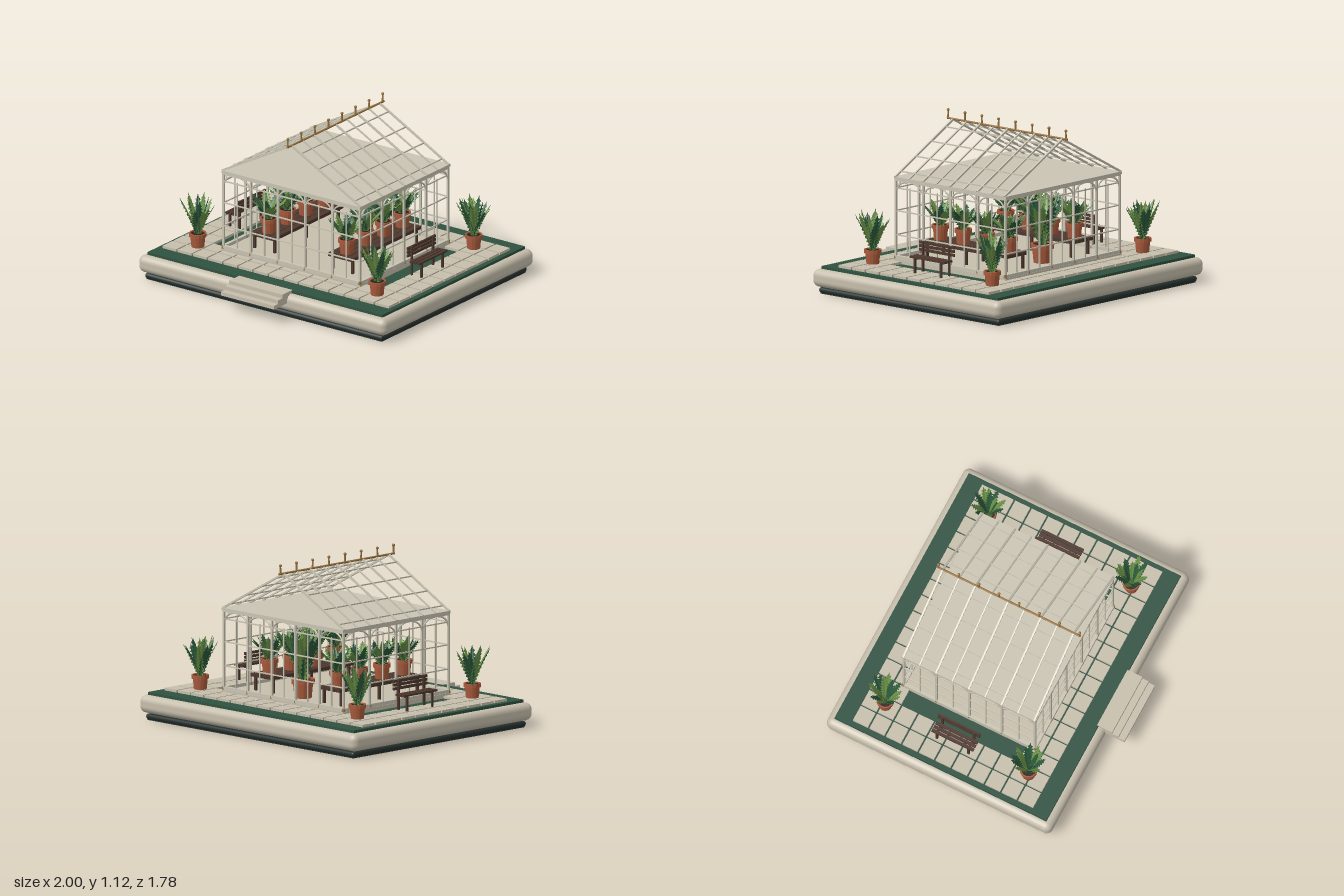
import * as THREE from 'three';
import { mergeGeometries } from 'three/addons/utils/BufferGeometryUtils.js';
import { RoundedBoxGeometry } from 'three/addons/geometries/RoundedBoxGeometry.js';

const mat = (name, color, extra = {}) => Object.assign(new THREE.MeshStandardMaterial({ color, ...extra }), { name });

export function createModel() {
  const M = {
    stone: mat('stone', 0xc6beac),
    frame: mat('painted frame', 0xc9c4b3),
    lawn: mat('lawn green', 0x2f5140),
    plinth: mat('dark plinth', 0x25302c),
    brass: mat('brass', 0x9a7440),
    clay: mat('terracotta', 0xa95a3c),
    soil: mat('soil', 0x2a211c),
    wood: mat('dark wood', 0x4d382e),
    leaf: mat('leaf green', 0x6a9147, { side: THREE.DoubleSide }),
    leafDark: mat('deep leaf green', 0x2c5a3c, { side: THREE.DoubleSide }),
  };
  const root = new THREE.Group();
  root.name = 'greenhouse';
  const CZ = -0.07; // centre of the terrace and the house in z

  const add = (name, geo, material, parent = root) => {
    const m = new THREE.Mesh(Array.isArray(geo) ? mergeGeometries(geo) : geo, material);
    m.name = name;
    parent.add(m);
    return m;
  };
  // Box given by its limits on each axis
  const box = (x0, x1, y0, y1, z0, z1) =>
    new THREE.BoxGeometry(x1 - x0, y1 - y0, z1 - z0).translate((x0 + x1) / 2, (y0 + y1) / 2, (z0 + z1) / 2);
  const V = (x, y, z) => new THREE.Vector3(x, y, z);
  // Square bar between two points
  const bar = (a, b, w) => {
    const d = b.clone().sub(a);
    const g = new THREE.BoxGeometry(w, w, d.length());
    const o = new THREE.Object3D();
    o.position.copy(a).add(b).multiplyScalar(0.5);
    o.lookAt(b);
    o.updateMatrix();
    return g.applyMatrix4(o.matrix);
  };

  // Base
  add('plinth', new RoundedBoxGeometry(1.92, 0.037, 1.58, 2, 0.017).translate(0, 0.0235, CZ), M.plinth);
  add('plinthFoot', box(-0.95, 0.95, 0, 0.02, CZ - 0.78, CZ + 0.78), M.plinth);
  add('stoneBase', new RoundedBoxGeometry(2, 0.118, 1.64, 3, 0.045).translate(0, 0.106, CZ), M.stone);
  add('lawn', box(-0.95, 0.95, 0.155, 0.183, -0.845, 0.7), M.lawn);

  // Paving ring around the house
  const tiles = [];
  const px = 1.84 / 15, pz = 1.325 / 11;
  for (let i = 0; i < 15; i++) for (let j = 0; j < 11; j++) {
    if (i > 1 && i < 13 && j > 1 && j < 9) continue;
    const x = -0.92 + i * px, z = -0.735 + j * pz;
    tiles.push(box(x + 0.006, x + px - 0.006, 0.175, 0.2, z + 0.006, z + pz - 0.006));
  }
  add('paving', tiles, M.stone);

  // Front steps
  [[0.16, 0.185, 0.69, 0.8], [0.135, 0.16, 0.72, 0.845], [0.11, 0.135, 0.74, 0.89]].forEach(([y0, y1, z0, z1]) =>
    add('step', box(-0.215, 0.215, y0, y1, z0, z1), M.stone));

  // House limits
  const X = 0.55, ZF = 0.41, ZB = -0.545, EAVE = 0.74;
  add('floor', box(-0.56, 0.56, 0.18, 0.212, ZB - 0.01, ZF + 0.01), M.stone);
  add('ceiling', box(-0.56, 0.56, 0.737, 0.754, ZB - 0.015, ZF + 0.01), M.frame);

  // Four walls: posts, mullions, rails and arched braces
  const wall = (name, a, b, bays) => {
    const geos = [], feet = [];
    const at = (t, y) => a.clone().lerp(b, t).setY(y);
    geos.push(bar(at(0, 0.224), at(1, 0.224), 0.022));
    geos.push(bar(at(0, 0.735), at(1, 0.735), 0.018));
    for (const y of [0.37, 0.53, 0.68]) geos.push(bar(at(0, y), at(1, y), 0.008));
    for (let i = 0; i <= bays; i++) {
      const p = at(i / bays, 0);
      geos.push(bar(at(i / bays, 0.2), at(i / bays, EAVE), 0.014));
      feet.push(new THREE.CylinderGeometry(0.011, 0.014, 0.022, 8).translate(p.x, 0.224, p.z));
      if (i < bays) geos.push(bar(at((i + 0.5) / bays, 0.22), at((i + 0.5) / bays, 0.69), 0.007));
      for (const s of [-1, 1]) {
        if ((i === 0 && s < 0) || (i === bays && s > 0)) continue;
        const t = (i + s * 0.4) / bays;
        const c = new THREE.QuadraticBezierCurve3(at(i / bays, 0.645), at((i + s * 0.06) / bays, 0.72), at(t, 0.728));
        geos.push(new THREE.TubeGeometry(c, 6, 0.006, 5));
      }
    }
    add(name, geos, M.frame);
    add(name + 'Feet', feet, M.brass);
  };
  wall('frontWall', V(-X, 0, ZF), V(X, 0, ZF), 5);
  wall('backWall', V(-X, 0, ZB), V(X, 0, ZB), 5);
  wall('leftWall', V(X, 0, ZF), V(X, 0, ZB), 4);
  wall('rightWall', V(-X, 0, ZF), V(-X, 0, ZB), 4);

  // Open roof grid
  const roof = [];
  for (const s of [-1, 1]) {
    for (let i = 0; i < 9; i++) {
      const z = ZF + (ZB - ZF) * i / 8;
      roof.push(bar(V(s * 0.56, 0.752, z), V(0, 1.05, z), i % 2 ? 0.009 : 0.012));
    }
    for (const t of [0.1, 0.36, 0.62, 0.87]) {
      const x = s * 0.56 * (1 - t), y = 0.752 + 0.298 * t;
      roof.push(bar(V(x, y, ZF), V(x, y, ZB), 0.008));
    }
  }
  add('roofBars', roof, M.frame);

  // Ridge with finials
  const ridge = [new THREE.CylinderGeometry(0.007, 0.007, 1.05, 8).rotateX(Math.PI / 2).translate(0, 1.052, CZ + 0.005)];
  for (let i = 0; i < 8; i++) {
    const z = 0.453 - i * 0.147;
    ridge.push(new THREE.CylinderGeometry(0.005, 0.007, 0.055, 8).translate(0, 1.078, z));
    ridge.push(new THREE.SphereGeometry(0.01, 8, 6).translate(0, 1.107, z));
  }
  add('ridge', ridge, M.brass);

  // Plant tables
  for (const s of [-1, 1]) {
    const x = s * 0.315, g = [];
    for (let i = 0; i < 4; i++) g.push(box(x - 0.098 + i * 0.05, x - 0.052 + i * 0.05, 0.305, 0.327, -0.44, 0.31));
    for (const dx of [-0.08, 0.08]) {
      for (const z of [-0.41, -0.065, 0.28]) g.push(box(x + dx - 0.008, x + dx + 0.008, 0.21, 0.306, z - 0.008, z + 0.008));
    }
    add('plantTable', g, M.wood);
  }

  // Garden benches, backs against the house
  for (const s of [-1, 1]) {
    const g = [];
    const slat = (x0, x1, y0, y1, z0, z1) => g.push(box(Math.min(s * x0, s * x1), Math.max(s * x0, s * x1), y0, y1, z0, z1));
    for (const x of [0.707, 0.735, 0.763]) slat(x, x + 0.021, 0.298, 0.311, -0.225, 0.08);
    for (const y of [0.331, 0.356, 0.38]) slat(0.68, 0.692, y, y + 0.017, -0.225, 0.08);
    for (const z of [-0.195, 0.035]) {
      slat(0.69, 0.702, 0.2, 0.395, z, z + 0.015);
      slat(0.768, 0.78, 0.2, 0.3, z, z + 0.015);
      slat(0.69, 0.78, 0.287, 0.298, z, z + 0.015);
    }
    add('bench', g, M.wood);
  }

  // Serrated frond: a midrib rising and leaning outward with toothed edges
  const frond = (h, reach, width, turn) => {
    const N = 9, pos = [], idx = [];
    for (let i = 0; i <= N; i++) {
      const t = i / N, r = 0.012 + reach * Math.pow(t, 1.25), y = h * t;
      const w = width * (0.3 + 0.7 * Math.sin(Math.PI * Math.min(1, t * 0.85 + 0.12)));
      pos.push(r, y, 0);
      for (const s of [-1, 1]) {
        pos.push(r - 0.004, y, s * w * 0.5);
        pos.push(r + reach * 0.07, y + h * 0.05, s * w * 0.95);
      }
      if (i === N) break;
      const a = i * 5, b = a + 5;
      idx.push(a, b, b + 1, a, b + 1, a + 1, a, a + 3, b + 3, a, b + 3, b);
      idx.push(a + 1, b + 1, a + 2, a + 3, a + 4, b + 3);
    }
    const tip = pos.length / 3, e = N * 5;
    pos.push(0.012 + reach * 1.08, h * 1.1, 0);
    idx.push(e, tip, e + 1, e, e + 3, tip);
    const g = new THREE.BufferGeometry();
    g.setAttribute('position', new THREE.Float32BufferAttribute(pos, 3));
    g.setIndex(idx);
    const flat = g.toNonIndexed().rotateY(turn);
    flat.computeVertexNormals();
    return flat;
  };

  // Potted plant: pot with rim, soil, and rings of fronds
  const plant = (x, y, z, r, potH, h, spread, turn) => {
    const g = new THREE.Group();
    g.name = 'pottedPlant';
    g.position.set(x, y, z);
    g.rotation.y = turn;
    root.add(g);
    const profile = [[0, 0], [0.74, 0], [0.86, 0.74], [1, 0.74], [1, 1], [0.84, 1], [0.82, 0.88]];
    add('pot', new THREE.LatheGeometry(profile.map(([a, b]) => new THREE.Vector2(a * r, b * potH)), 14).toNonIndexed(), M.clay, g)
      .geometry.computeVertexNormals();
    add('soil', new THREE.CylinderGeometry(r * 0.84, r * 0.84, 0.006, 14).translate(0, potH * 0.9, 0), M.soil, g);
    const light = [], dark = [];
    for (let i = 0; i < 16; i++) {
      const a = i * 2.39996, k = (i * 7 % 5) / 5;
      const outer = i < 10;
      const f = frond(h * (outer ? 0.66 + 0.2 * k : 0.8 + 0.13 * k), spread * (outer ? 0.85 + 0.1 * k : 0.45 + 0.2 * k), spread * 0.3, a);
      (i % 2 ? dark : light).push(f.translate(0, potH * 0.9, 0));
    }
    add('fronds', light, M.leaf, g);
    add('deepFronds', dark, M.leafDark, g);
  };
  for (const s of [-1, 1]) {
    for (const z of [0.455, -0.59]) plant(s * 0.725, 0.2, z, 0.057, 0.095, 0.275, 0.107, s + z);
    for (let i = 0; i < 4; i++) plant(s * 0.315, 0.327, 0.235 - i * 0.2, 0.058, 0.1, 0.17, 0.115, s + i * 1.3);
  }
  plant(0, 0.212, -0.37, 0.077, 0.125, 0.385, 0.15, 0.4);

  return root;
}
